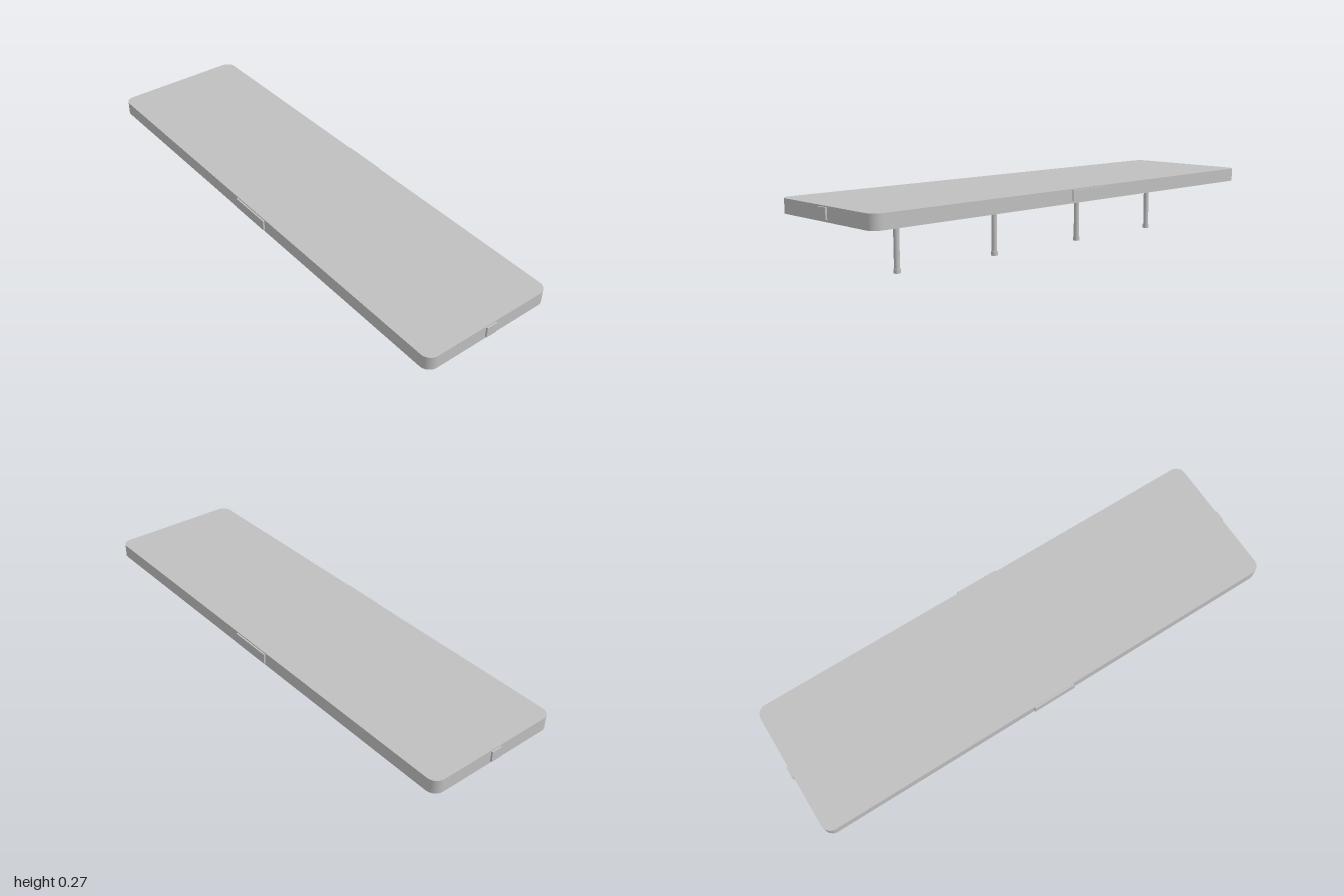
import * as THREE from 'three';

// Rounded rectangle outline, usable as a shape or a hole
function roundedRect(target, w, d, r) {
  const x = w / 2, y = d / 2;
  target.moveTo(-x + r, -y);
  target.lineTo(x - r, -y);
  target.absarc(x - r, -y + r, r, -Math.PI / 2, 0, false);
  target.lineTo(x, y - r);
  target.absarc(x - r, y - r, r, 0, Math.PI / 2, false);
  target.lineTo(-x + r, y);
  target.absarc(-x + r, y - r, r, Math.PI / 2, Math.PI, false);
  target.lineTo(-x, -y + r);
  target.absarc(-x + r, -y + r, r, Math.PI, Math.PI * 1.5, false);
  return target;
}

// Extrude a plan shape upwards from y0 to y1
function slab(shape, y0, y1) {
  const geo = new THREE.ExtrudeGeometry(shape, { depth: y1 - y0, bevelEnabled: false, curveSegments: 10 });
  geo.rotateX(-Math.PI / 2);
  geo.translate(0, y0, 0);
  return geo;
}

export function createModel() {
  const model = new THREE.Group();
  const grey = new THREE.MeshStandardMaterial({ color: 0xc0c0c0 });
  grey.name = 'light grey';

  const add = (name, geo, x = 0, y = 0, z = 0, parent = model) => {
    const mesh = new THREE.Mesh(geo, grey);
    mesh.name = name;
    mesh.position.set(x, y, z);
    parent.add(mesh);
    return mesh;
  };

  const W = 1.986, D = 0.56, R = 0.04, bottom = 0.218, top = 0.273;
  const soffit = bottom + 0.003, rim = 0.008;

  // Canopy roof with a shallow lip around the underside
  add('canopyRoof', slab(roundedRect(new THREE.Shape(), W, D, R), soffit, top));
  const lip = roundedRect(new THREE.Shape(), W, D, R);
  lip.holes.push(roundedRect(new THREE.Path(), W - 2 * rim, D - 2 * rim, R - rim));
  add('canopyLip', slab(lip, bottom, soffit));

  // Blank sign panels on the four sides
  for (const s of [-1, 1]) {
    add('longSidePanel', new THREE.BoxGeometry(0.18, 0.042, 0.008), 0, 0.2475, s * 0.283);
    add('endPanel', new THREE.BoxGeometry(0.008, 0.042, 0.045), s * 0.996, 0.2475, 0);
  }

  // Posts with foot sleeves
  const postGeo = new THREE.CylinderGeometry(0.011, 0.011, soffit, 16);
  const footGeo = new THREE.CylinderGeometry(0.0135, 0.0135, 0.016, 16);
  for (const x of [-0.7, -0.234, 0.234, 0.7]) {
    const post = new THREE.Group();
    post.name = 'post';
    post.position.x = x;
    add('postShaft', postGeo, 0, soffit / 2, 0, post);
    add('postFoot', footGeo, 0, 0.008, 0, post);
    model.add(post);
  }

  // Two rows of ceiling lights
  const lightGeo = new THREE.BoxGeometry(0.07, 0.003, 0.037);
  for (const z of [-0.166, 0.166]) {
    for (let i = 0; i < 12; i++) {
      add('ceilingLight', lightGeo, (i - 5.5) * 0.156, soffit - 0.001, z);
    }
  }

  return model;
}
